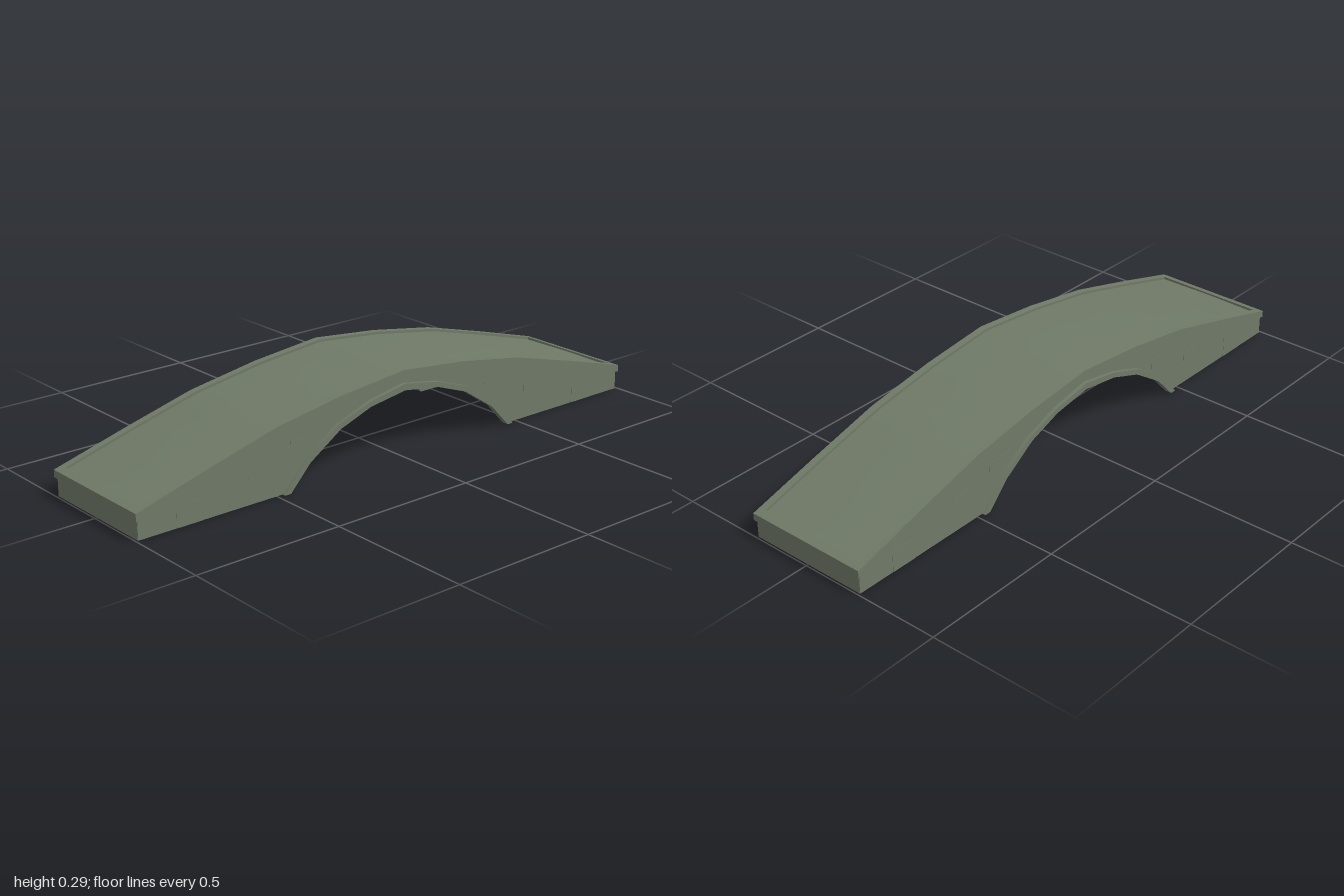
import * as THREE from 'three';
import { toCreasedNormals } from 'three/addons/utils/BufferGeometryUtils.js';

// Half profiles as [z, y], from the crown outwards
const TOP = [[0, 0.2875], [0.25, 0.262], [0.5, 0.221], [0.75, 0.155], [1, 0.085]];
const ARCH_IN = [[0, 0.223], [0.14, 0.202], [0.26, 0.159], [0.38, 0.08], [0.455, 0]];
const ARCH_OUT = [[0, 0.245], [0.14, 0.22], [0.27, 0.175], [0.39, 0.095], [0.478, 0]];

// Full profile from -z to +z
const full = (half) => [...half.slice(1).reverse().map(([z, y]) => [-z, y]), ...half];

function heightAt(z) {
  const a = Math.min(Math.abs(z), 1);
  let i = 0;
  while (i < TOP.length - 2 && a > TOP[i + 1][0]) i++;
  const [z0, y0] = TOP[i], [z1, y1] = TOP[i + 1];
  return y0 + (y1 - y0) * (a - z0) / (z1 - z0);
}

// Extrudes a z-y outline across x
function slab(points, x0, x1) {
  const shape = new THREE.Shape(points.map(([z, y]) => new THREE.Vector2(z, y)));
  const geo = new THREE.ExtrudeGeometry(shape, { depth: x1 - x0, bevelEnabled: false });
  geo.rotateY(-Math.PI / 2).translate(x1, 0, 0);
  return toCreasedNormals(geo, 0.5);
}

export function createModel() {
  const group = new THREE.Group();
  const stone = new THREE.MeshStandardMaterial({ color: 0x707a67, side: THREE.DoubleSide });
  stone.name = 'mossy stone';
  const add = (name, geo) => {
    const mesh = new THREE.Mesh(geo, stone);
    mesh.name = name;
    group.add(mesh);
    return mesh;
  };

  const top = full(TOP);
  const drop = (pts, d) => pts.map(([z, y]) => [z, y - d]);
  const archIn = full(ARCH_IN), archOut = full(ARCH_OUT);

  // Walkway: a thin sheet following the hump, slightly raised along its middle
  const deck = new THREE.PlaneGeometry(0.41, 1.95, 4, 40).rotateX(-Math.PI / 2);
  const pos = deck.attributes.position;
  for (let i = 0; i < pos.count; i++) {
    const side = Math.abs(pos.getX(i)) / 0.205;
    pos.setY(i, heightAt(pos.getZ(i)) - 0.006 - 0.003 * side);
  }
  deck.computeVertexNormals();
  add('deck', deck);

  // Side walls, curbs, arch rings and raised stones, mirrored across x
  const wallOutline = [...drop(top, 0.01).map(([z, y]) => [z * 0.992, y]),
    [0.992, 0], ...[...archIn].reverse(), [-0.992, 0]];
  const curbOutline = [...top, ...drop(top, 0.024).reverse()];
  const ringOutline = [...archOut, ...[...archIn].reverse()];
  const stones = [[0.815, 0.035, 0.09, 0.07], [0.57, 0.1, 0.07, 0.035], [0.4, 0.148, 0.09, 0.03]];
  for (const s of [1, -1]) {
    const label = s > 0 ? 'left' : 'right';
    const mirrored = (name, outline, inner, outer) =>
      add(label + name, s > 0 ? slab(outline, inner, outer) : slab(outline, -outer, -inner));
    mirrored('Wall', wallOutline, 0.2, 0.212);
    mirrored('Curb', curbOutline, 0.193, 0.217);
    mirrored('ArchRing', ringOutline, 0.2, 0.224);
    for (const [z, y, length, height] of stones) {
      for (const end of [1, -1]) {
        add(label + 'WallStone', new THREE.BoxGeometry(0.003, height, length))
          .position.set(s * 0.2115, y, end * z);
      }
    }
  }

  // End walls with an overhanging lip
  for (const s of [1, -1]) {
    const label = s > 0 ? 'front' : 'back';
    add(label + 'EndWall', new THREE.BoxGeometry(0.42, 0.075, 0.01)).position.set(0, 0.0375, s * 0.988);
    const lip = [[s, 0.085], [s * 0.972, heightAt(0.972)], [s * 0.972, 0.071], [s, 0.063]];
    add(label + 'Lip', slab(lip, -0.216, 0.216));
  }
  return group;
}
